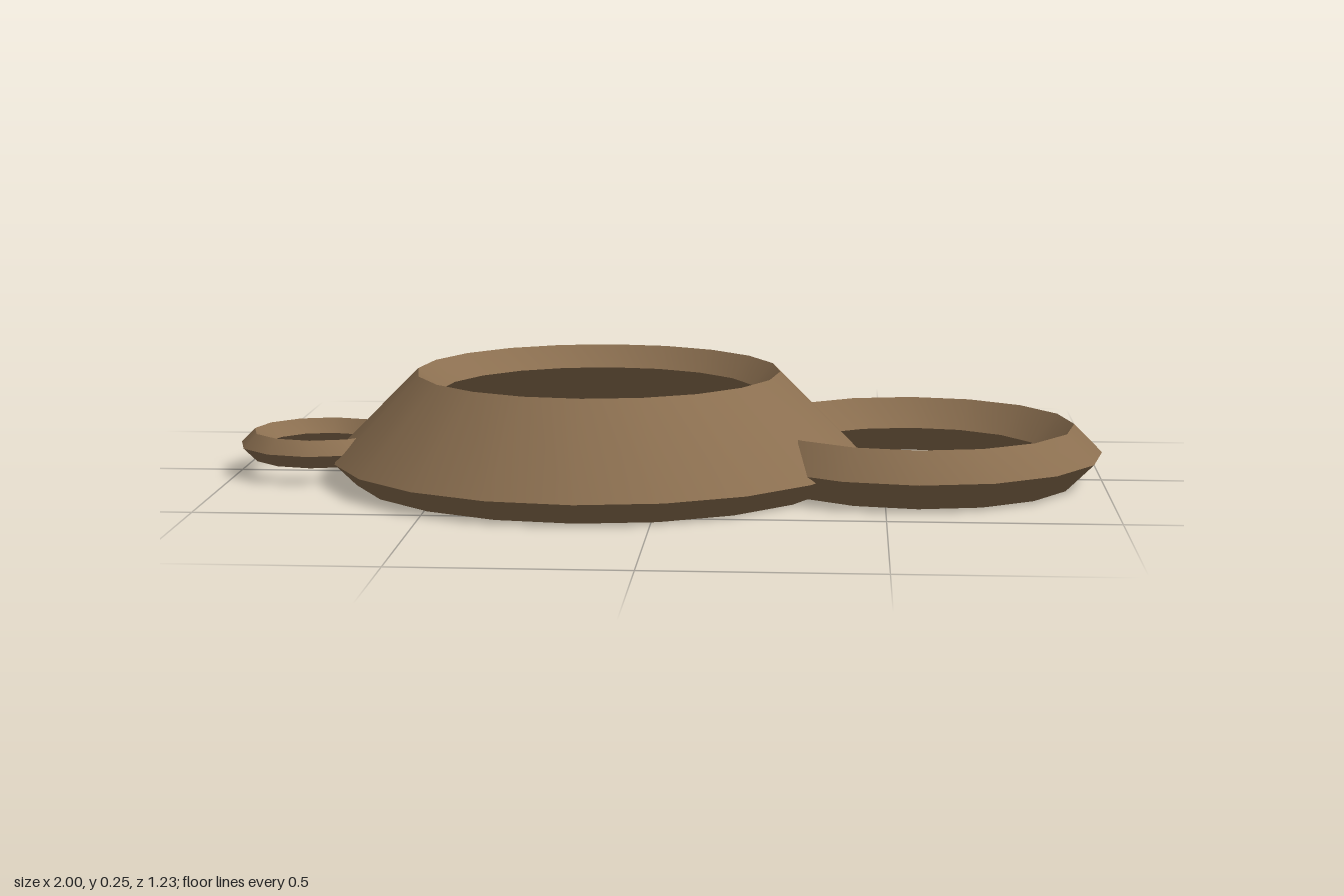
import * as THREE from 'three';
import { toCreasedNormals } from 'three/addons/utils/BufferGeometryUtils.js';

// Closed ring turned from a four-cornered cross-section of [radius, height] points
function ring(name, x, sides, section, material) {
  const points = [...section, section[0]].map(([r, y]) => new THREE.Vector2(r, y));
  const geometry = toCreasedNormals(new THREE.LatheGeometry(points, sides), 0.7);
  const mesh = new THREE.Mesh(geometry, material);
  mesh.name = name;
  mesh.position.x = x;
  return mesh;
}

// Diamond cross-section, counter-clockwise from the bottom corner
const diamond = (r, y, t) => [[r, y - t], [r + t, y], [r, y + t], [r - t, y]];

export function createModel() {
  const model = new THREE.Group();
  model.name = 'linkedRings';
  const brown = new THREE.MeshStandardMaterial({ color: 0x8b6f50 });
  brown.name = 'brown';

  // Sloping collar with a slanted rectangular section
  const collar = [[0.565, 0], [0.615, 0.05], [0.42, 0.245], [0.37, 0.195]];
  model.add(ring('collar', -0.16, 20, collar, brown));

  // Large and small rings passing through the collar wall
  model.add(ring('largeRing', 0.57, 16, diamond(0.365, 0.065, 0.065), brown));
  model.add(ring('smallRing', -0.808, 12, diamond(0.16, 0.067, 0.032), brown));
  return model;
}
